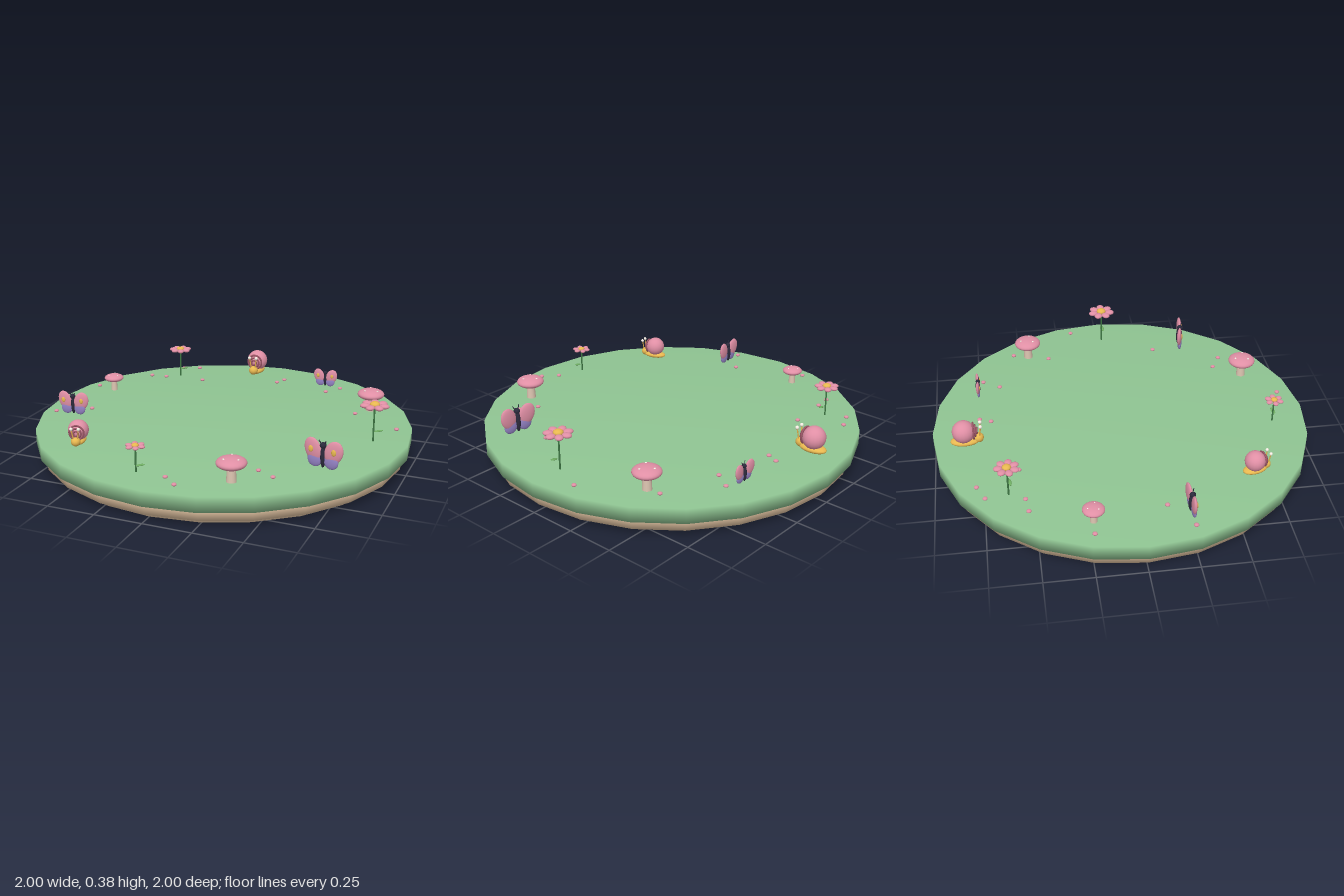
import * as THREE from 'three';

const mat = (color, side = THREE.FrontSide) => new THREE.MeshStandardMaterial({ color, side });
const M = {
  grass: mat(0x8fc492), earth: mat(0xe2c4a2), pink: mat(0xe08fa5), gold: mat(0xe8b850),
  purple: mat(0x9482c4), dark: mat(0x2b2a3c), stem: mat(0x3f7a45), leaf: mat(0x6fae62, THREE.DoubleSide),
  stalk: mat(0xdcc4b0), white: mat(0xf6efe4), spiral: mat(0x9c5666),
};
const GROUND = 0.163;

function add(parent, name, geometry, material, x = 0, y = 0, z = 0) {
  const mesh = new THREE.Mesh(geometry, material);
  mesh.name = name;
  mesh.position.set(x, y, z);
  parent.add(mesh);
  return mesh;
}

// Ellipsoid at p with radii r
function blob(parent, name, material, p, r, seg = 16) {
  const mesh = add(parent, name, new THREE.SphereGeometry(1, seg, Math.ceil(seg * 0.7)), material, ...p);
  mesh.scale.set(...r);
  return mesh;
}

// Thin rod between two points
function rod(parent, name, material, a, b, radius) {
  const path = new THREE.LineCurve3(new THREE.Vector3(...a), new THREE.Vector3(...b));
  return add(parent, name, new THREE.TubeGeometry(path, 1, radius, 6), material);
}

// 24-sided slab closed at both ends
function slab(parent, name, material, radius, y0, y1) {
  const profile = [[0, y0], [radius, y0], [radius, y1], [0, y1]].map(p => new THREE.Vector2(...p));
  add(parent, name, new THREE.LatheGeometry(profile, 24), material);
}

function place(root, name, x, z, turn = 0, scale = 1) {
  const g = new THREE.Group();
  g.name = name;
  g.position.set(x, GROUND, z);
  g.rotation.y = turn;
  g.scale.setScalar(scale);
  root.add(g);
  return g;
}

// Flower lying face up on a thin stem with one leaf
function flower(root, x, z, height, radius, petals, turn) {
  const g = place(root, 'flower', x, z);
  rod(g, 'flowerStem', M.stem, [0, 0, 0], [0, height, 0], 0.0045);
  const leaf = blob(g, 'flowerLeaf', M.leaf, [0.028, height * 0.32, 0.008], [0.024, 0.004, 0.011], 10);
  leaf.rotation.set(0, 0.2, 0.2);
  for (let i = 0; i < petals; i++) {
    const a = turn + (i / petals) * Math.PI * 2;
    const petal = blob(g, 'petal', M.pink, [Math.cos(a) * radius * 0.66, height, Math.sin(a) * radius * 0.66],
      [radius * 0.36, radius * 0.17, radius * 0.3], 12);
    petal.rotation.y = -a;
  }
  blob(g, 'flowerCentre', M.gold, [0, height + radius * 0.06, 0], [radius * 0.36, radius * 0.22, radius * 0.36], 12);
}

// Mushroom with flattened cap and pale dots
function mushroom(root, x, z, capY, radius) {
  const g = place(root, 'mushroom', x, z);
  add(g, 'mushroomStem', new THREE.CylinderGeometry(radius * 0.27, radius * 0.34, capY, 14), M.stalk, 0, capY / 2, 0);
  blob(g, 'mushroomCap', M.pink, [0, capY, 0], [radius, radius * 0.4, radius], 24);
  for (const a of [0.3, 2.3, 4.4]) {
    const r = radius * 0.55;
    blob(g, 'capDot', M.white, [Math.cos(a) * r, capY + radius * 0.33, Math.sin(a) * r],
      [radius * 0.08, radius * 0.04, radius * 0.08], 8);
  }
}

// Upright butterfly facing +z
function butterfly(root, x, z, turn, scale) {
  const g = place(root, 'butterfly', x, z, turn, scale);
  for (const s of [-1, 1]) {
    const upper = blob(g, 'upperWing', M.pink, [s * 0.054, 0.095, 0], [0.046, 0.06, 0.014]);
    upper.rotation.z = -s * 0.35;
    upper.rotation.y = s * 0.1;
    blob(g, 'lowerWing', M.purple, [s * 0.043, 0.047, 0.002], [0.038, 0.038, 0.012]);
    blob(g, 'wingSpot', M.gold, [s * 0.06, 0.1, 0.014], [0.013, 0.017, 0.005], 10);
    rod(g, 'antenna', M.dark, [s * 0.003, 0.125, 0.004], [s * 0.02, 0.153, 0.014], 0.0025);
  }
  blob(g, 'butterflyBody', M.dark, [0, 0.07, 0], [0.013, 0.06, 0.018], 12);
  blob(g, 'butterflyHead', M.dark, [0, 0.125, 0.004], [0.016, 0.016, 0.018], 12);
}

// Snail heading +z
function snail(root, x, z, turn, scale) {
  const g = place(root, 'snail', x, z, turn, scale);
  blob(g, 'snailFoot', M.gold, [0, 0.032, 0.004], [0.043, 0.021, 0.077]);
  blob(g, 'snailHead', M.gold, [0, 0.045, 0.075], [0.027, 0.026, 0.027]);
  blob(g, 'snailShell', M.pink, [0, 0.09, 0], [0.06, 0.06, 0.06], 20);
  for (const [r, d] of [[0.042, 0.05], [0.028, 0.06], [0.014, 0.068]])
    add(g, 'shellRing', new THREE.TorusGeometry(r, 0.0055, 6, 20), M.spiral, 0, 0.09, d);
  for (const s of [-1, 1]) {
    rod(g, 'eyeStalk', M.gold, [s * 0.011, 0.055, 0.08], [s * 0.021, 0.122, 0.088], 0.0035);
    blob(g, 'snailEye', M.white, [s * 0.021, 0.125, 0.088], [0.01, 0.01, 0.01], 10);
  }
}

export function createModel() {
  const root = new THREE.Group();
  root.name = 'gardenPlatform';

  // Stepped platform
  slab(root, 'lowerBase', M.earth, 0.92, 0, 0.03);
  slab(root, 'upperBase', M.earth, 0.967, 0.03, 0.09);
  slab(root, 'grassTop', M.grass, 1, 0.085, GROUND);

  // Ring of garden things
  flower(root, -0.54, -0.625, 0.166, 0.064, 7, 0.2);
  flower(root, 0.82, 0, 0.193, 0.074, 7, 0);
  flower(root, -0.12, 0.81, 0.132, 0.05, 6, 0);

  mushroom(root, 0.69, -0.45, 0.094, 0.073);
  mushroom(root, 0.34, 0.745, 0.094, 0.074);
  mushroom(root, -0.79, -0.235, 0.073, 0.055);

  butterfly(root, -0.79, 0.235, 0.08, 0.87);
  butterfly(root, 0.69, 0.45, -0.16, 1);
  butterfly(root, 0.34, -0.75, 0, 0.7);

  snail(root, -0.118, -0.832, 0.03, 1);
  snail(root, -0.545, 0.605, 0.3, 0.88);

  // Scattered pebbles
  const pebbles = [
    [-0.57, -0.74], [-0.48, -0.78], [-0.69, -0.535], [-0.6, -0.545], [-0.37, -0.565],
    [0.085, -0.75], [0.06, -0.69], [0.44, -0.72], [0.38, -0.63], [0.695, -0.535],
    [0.635, -0.335], [0.9, -0.18], [0.65, 0.285], [0.42, 0.6], [0.51, 0.65],
    [0.045, 0.835], [0.12, 0.9], [-0.89, -0.24], [-0.735, 0.13], [-0.895, 0.24],
  ];
  for (const [x, z] of pebbles) blob(root, 'pebble', M.pink, [x, GROUND + 0.012, z], [0.013, 0.008, 0.013], 10);

  return root;
}
